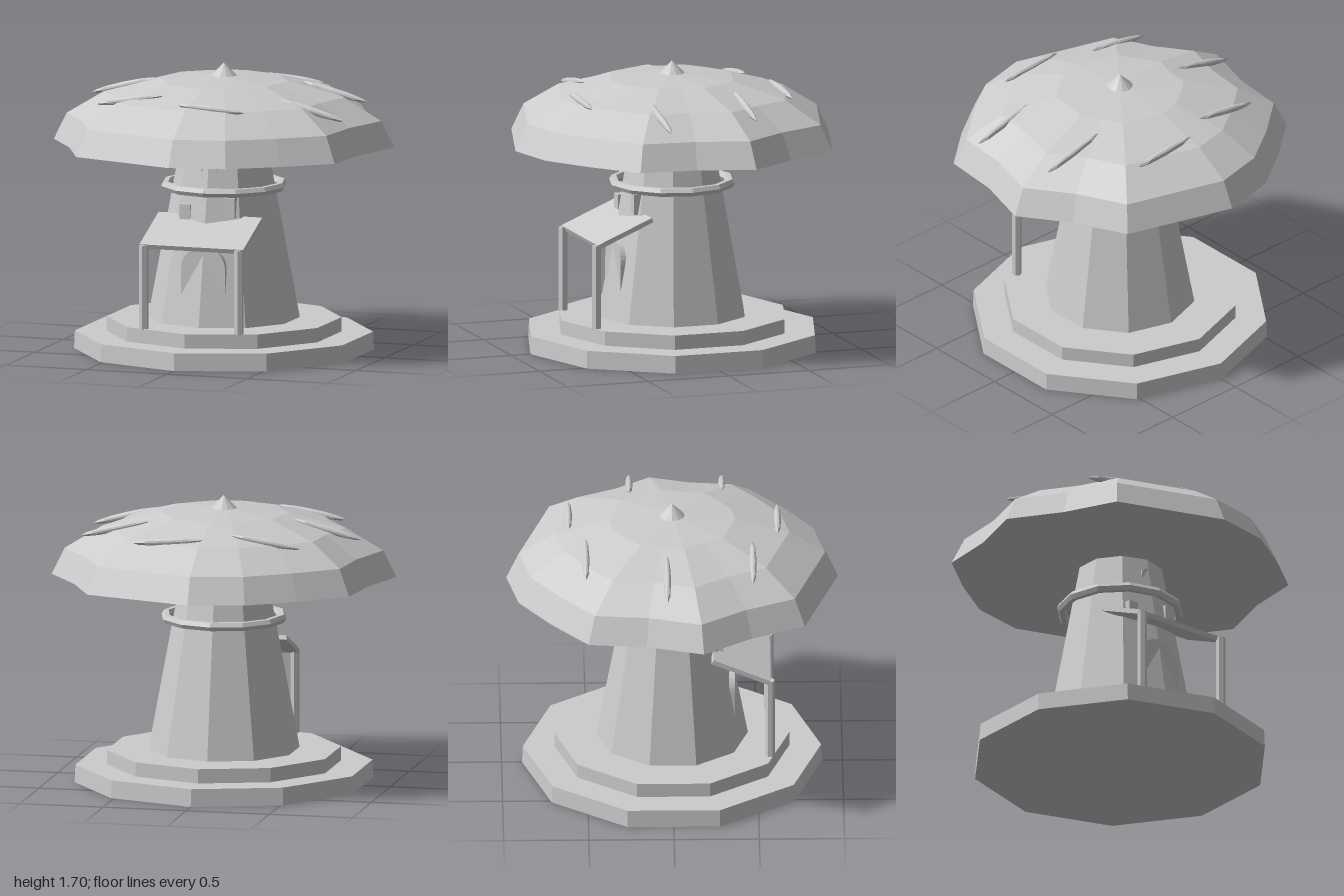
import * as THREE from 'three';

const mat = new THREE.MeshStandardMaterial({ color: 0xcccccc, flatShading: true });

export function createModel() {
  const model = new THREE.Group();
  const add = (name, geometry, x = 0, y = 0, z = 0) => {
    const mesh = new THREE.Mesh(geometry, mat);
    mesh.name = name;
    mesh.position.set(x, y, z);
    model.add(mesh);
    return mesh;
  };
  // ten-sided tier standing between two heights
  const tier = (name, rTop, rBottom, y0, y1) =>
    add(name, new THREE.CylinderGeometry(rTop, rBottom, y1 - y0, 10), 0, (y0 + y1) / 2, 0);

  // Stepped base and tapered stem
  tier('lowerStep', 0.875, 0.88, 0, 0.105);
  tier('upperStep', 0.69, 0.69, 0.1, 0.19);
  tier('stem', 0.25, 0.446, 0.185, 1.24);

  // Collar round the stem
  add('collar', new THREE.TorusGeometry(0.347, 0.028, 6, 12), 0, 0.977, 0).rotation.x = Math.PI / 2;

  // Cap: half dome with an uneven rim, closed underneath
  const profile = [new THREE.Vector2(0, 1.22)];
  for (let i = 4; i >= 0; i--) {
    const a = (i * Math.PI) / 8;
    profile.push(new THREE.Vector2(Math.sin(a), 1.22 + 0.41 * Math.cos(a)));
  }
  const cap = new THREE.LatheGeometry(profile, 18);
  const wobble = [0.973, 0.96, 0.937, 1.0, 0.913, 1.012, 0.92, 1.007, 0.93];
  const pos = cap.attributes.position;
  for (let i = 0; i < pos.count; i++) {
    const k = wobble[Math.floor(i / profile.length) % 9];
    pos.setX(i, pos.getX(i) * k);
    pos.setZ(i, pos.getZ(i) * k);
  }
  add('cap', cap);
  add('capTip', new THREE.ConeGeometry(0.075, 0.075, 12), 0, 1.662, 0);

  // Slim spots lying on the cap
  const spots = [[-0.37, -0.51], [0.2, -0.605], [0.6, -0.245], [0.65, 0.3],
    [0.14, 0.62], [-0.42, 0.47], [-0.63, -0.035]];
  for (const [x, z] of spots) {
    const y = 1.22 + 0.41 * Math.sqrt(1 - x * x - z * z);
    const spot = add('capSpot', new THREE.SphereGeometry(1, 8, 6), x, y - 0.012, z);
    spot.scale.set(0.21, 0.022, 0.022);
    spot.rotation.z = -0.4 * x;
  }

  // Arched door, half sunk in the stem
  const arch = new THREE.Shape();
  arch.moveTo(-0.137, 0.19);
  arch.lineTo(0.137, 0.19);
  arch.lineTo(0.137, 0.525);
  arch.absarc(0, 0.525, 0.137, 0, Math.PI, false);
  arch.closePath();
  add('door', new THREE.ExtrudeGeometry(arch, { depth: 0.05, bevelEnabled: false, curveSegments: 8 }), 0, 0, 0.317);

  // Round window above, box windows over the porch
  add('roundWindow', new THREE.CylinderGeometry(0.052, 0.052, 0.04, 12), 0, 1.108, 0.245).rotation.x = Math.PI / 2;
  add('rightWindow', new THREE.BoxGeometry(0.065, 0.09, 0.06), -0.138, 0.85, 0.27);
  add('leftWindow', new THREE.BoxGeometry(0.065, 0.12, 0.06), 0.137, 0.885, 0.265);

  // Porch roof on two posts
  add('porchRoof', new THREE.BoxGeometry(0.645, 0.028, 0.365), 0, 0.748, 0.402).rotation.x = 0.4;
  for (const side of [-1, 1]) {
    add('porchPost', new THREE.CylinderGeometry(0.028, 0.028, 0.5, 6), side * 0.296, 0.435, 0.572);
  }
  return model;
}
